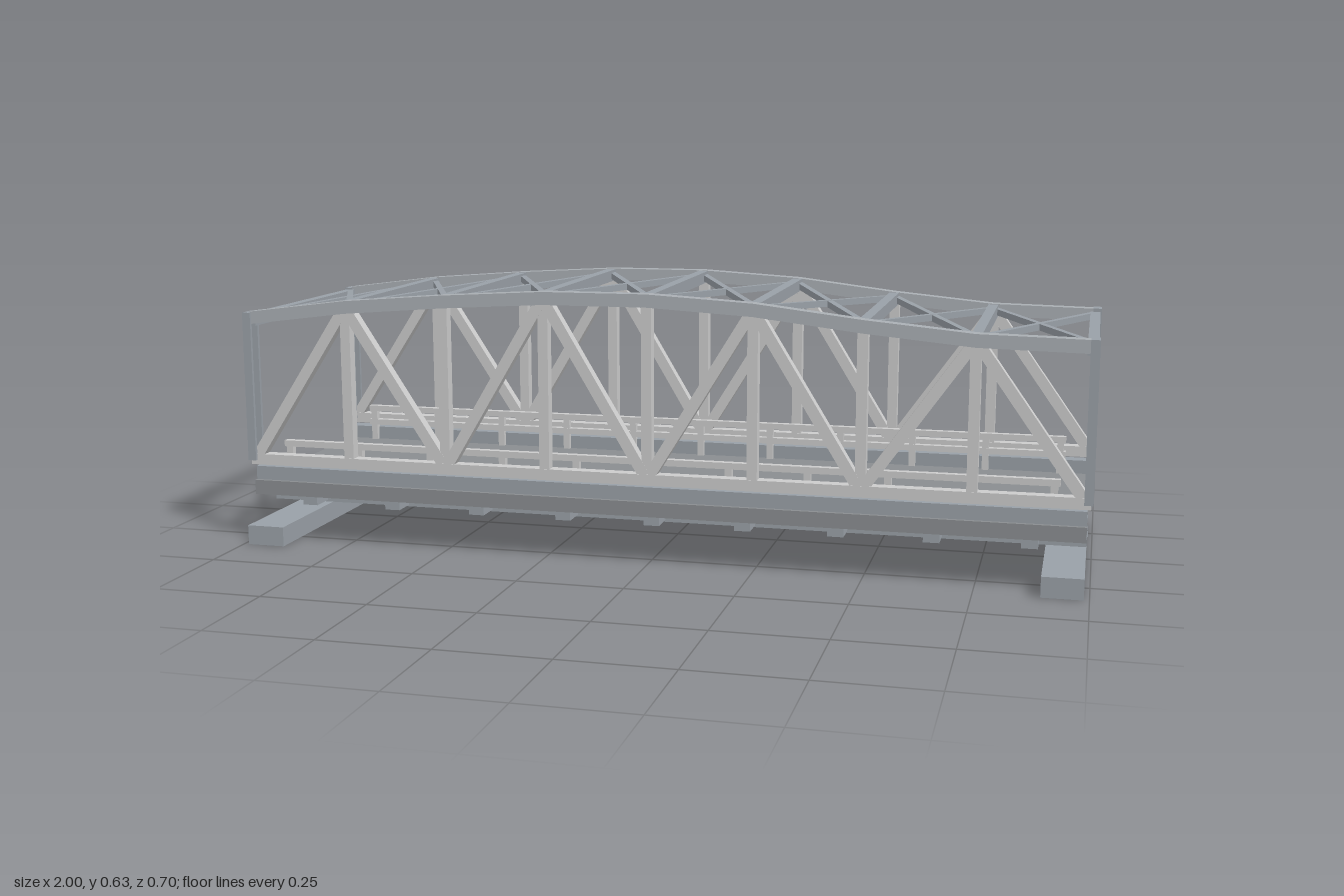
import * as THREE from 'three';

const paint = (color) => new THREE.MeshStandardMaterial({ color, flatShading: true });
const lightSteel = paint(0xc2c4c6);
const chordSteel = paint(0xa9aeb3);
const blueSteel = paint(0x99a0a7);
const deckGrey = paint(0x8a8d90);

export function createModel() {
  const model = new THREE.Group();
  model.name = 'trussBridge';

  const group = (name) => {
    const g = new THREE.Group();
    g.name = name;
    model.add(g);
    return g;
  };
  const add = (parent, name, material, geometry) => {
    const mesh = new THREE.Mesh(geometry, material);
    mesh.name = name;
    parent.add(mesh);
    return mesh;
  };
  const box = (parent, name, material, w, h, d, x, y, z) => {
    const mesh = add(parent, name, material, new THREE.BoxGeometry(w, h, d));
    mesh.position.set(x, y, z);
  };
  // Rectangular bar from a to b; depth lies along z for truss bars and level for braces
  const beam = (parent, name, material, a, b, thick, depth) => {
    const A = new THREE.Vector3(...a);
    const B = new THREE.Vector3(...b);
    const dir = B.clone().sub(A);
    const length = dir.length();
    dir.normalize();
    const side = new THREE.Vector3(0, 0, 1);
    if (Math.abs(dir.z) > 0.01) side.crossVectors(dir, new THREE.Vector3(0, 1, 0)).normalize();
    const up = new THREE.Vector3().crossVectors(side, dir);
    const mesh = add(parent, name, material, new THREE.BoxGeometry(length, thick, depth));
    mesh.quaternion.setFromRotationMatrix(new THREE.Matrix4().makeBasis(dir, up, side));
    mesh.position.copy(A).add(B).multiplyScalar(0.5);
  };

  // Panel points: centre heights of the arched top chord
  const top = [0.548, 0.58, 0.6, 0.615, 0.616, 0.602, 0.573, 0.55, 0.545];
  const panelX = top.map((_, i) => (i - 4) * 0.2463);
  const bottomY = 0.202;
  const trussZ = 0.288;

  // Abutments
  const supports = group('abutments');
  for (const s of [-1, 1]) box(supports, 'abutment', blueSteel, 0.092, 0.047, 0.698, s * 0.942, 0.0235, 0);

  // Deck and curbs
  const deck = group('deck');
  box(deck, 'deckSlab', deckGrey, 1.976, 0.035, 0.606, 0, 0.1325, 0);
  for (const s of [-1, 1]) box(deck, 'curb', blueSteel, 1.976, 0.034, 0.038, 0, 0.166, s * 0.274);

  // Underside framing, with a crossed brace in every panel
  const floor = group('floorFraming');
  for (const z of [-0.182, 0, 0.182]) box(floor, 'stringer', blueSteel, 1.976, 0.033, 0.034, 0, 0.0965, z);
  for (let i = -4; i <= 4; i++) box(floor, 'crossBeam', blueSteel, 0.037, 0.032, 0.518, i * 0.2165, 0.1, 0);
  for (let i = 0; i < 8; i++) {
    for (const s of [-1, 1]) {
      beam(floor, 'floorBrace', blueSteel, [panelX[i], 0.097, -s * 0.15], [panelX[i + 1], 0.097, s * 0.15], 0.014, 0.014);
    }
  }

  // Top chord outline, swept through its depth
  const outline = new THREE.Shape([
    ...panelX.map((x, i) => new THREE.Vector2(x, top[i] - 0.015)),
    ...panelX.map((x, i) => new THREE.Vector2(x, top[i] + 0.015)).reverse(),
  ]);
  const chordGeometry = new THREE.ExtrudeGeometry(outline, { depth: 0.033, bevelEnabled: false });
  chordGeometry.translate(0, 0, -0.0165);

  for (const s of [-1, 1]) {
    const z = s * trussZ;

    // Side truss
    const truss = group(s > 0 ? 'frontTruss' : 'backTruss');
    add(truss, 'topChord', chordSteel, chordGeometry).position.z = z;
    box(truss, 'bottomChord', lightSteel, 1.99, 0.026, 0.029, 0, bottomY, z);
    panelX.forEach((x, i) => {
      if (i > 0 && i < 8) beam(truss, 'vertical', lightSteel, [x, bottomY, z], [x, top[i], z], 0.024, 0.026);
      if (i === 8) return;
      const yA = i % 2 ? top[i] : bottomY;
      const yB = i % 2 ? bottomY : top[i + 1];
      beam(truss, 'diagonal', lightSteel, [x, yA, z], [panelX[i + 1], yB, z], 0.026, 0.027);
    });

    // Paired plates of the open end posts
    for (const e of [-1, 1]) {
      for (const o of [-1, 1]) box(truss, 'endPostPlate', blueSteel, 0.02, 0.361, 0.008, e * 0.99, 0.3805, z + o * 0.0178);
      box(truss, 'endPostCap', blueSteel, 0.02, 0.02, 0.0436, e * 0.99, 0.551, z);
    }

    // Railing
    const railing = group(s > 0 ? 'frontRailing' : 'backRailing');
    for (const y of [0.2355, 0.198]) box(railing, 'rail', lightSteel, 1.856, 0.015, 0.017, 0, y, s * 0.251);
    for (let i = -5; i <= 5; i++) box(railing, 'railPost', lightSteel, 0.016, 0.093, 0.016, i * 0.183, 0.196, s * 0.251);
  }

  // Overhead struts and crossed bracing
  const overhead = group('overheadBracing');
  panelX.forEach((x, i) => {
    const end = i === 0 || i === 8;
    box(overhead, end ? 'portalStrut' : 'crossStrut', blueSteel, 0.024, 0.028, end ? 0.59 : 0.56, x, top[i] - (end ? 0.006 : 0), 0);
    if (i === 8) return;
    for (const s of [-1, 1]) {
      beam(overhead, 'topBrace', blueSteel, [x, top[i], -s * 0.272], [panelX[i + 1], top[i + 1], s * 0.272], 0.015, 0.015);
    }
  });

  return model;
}
